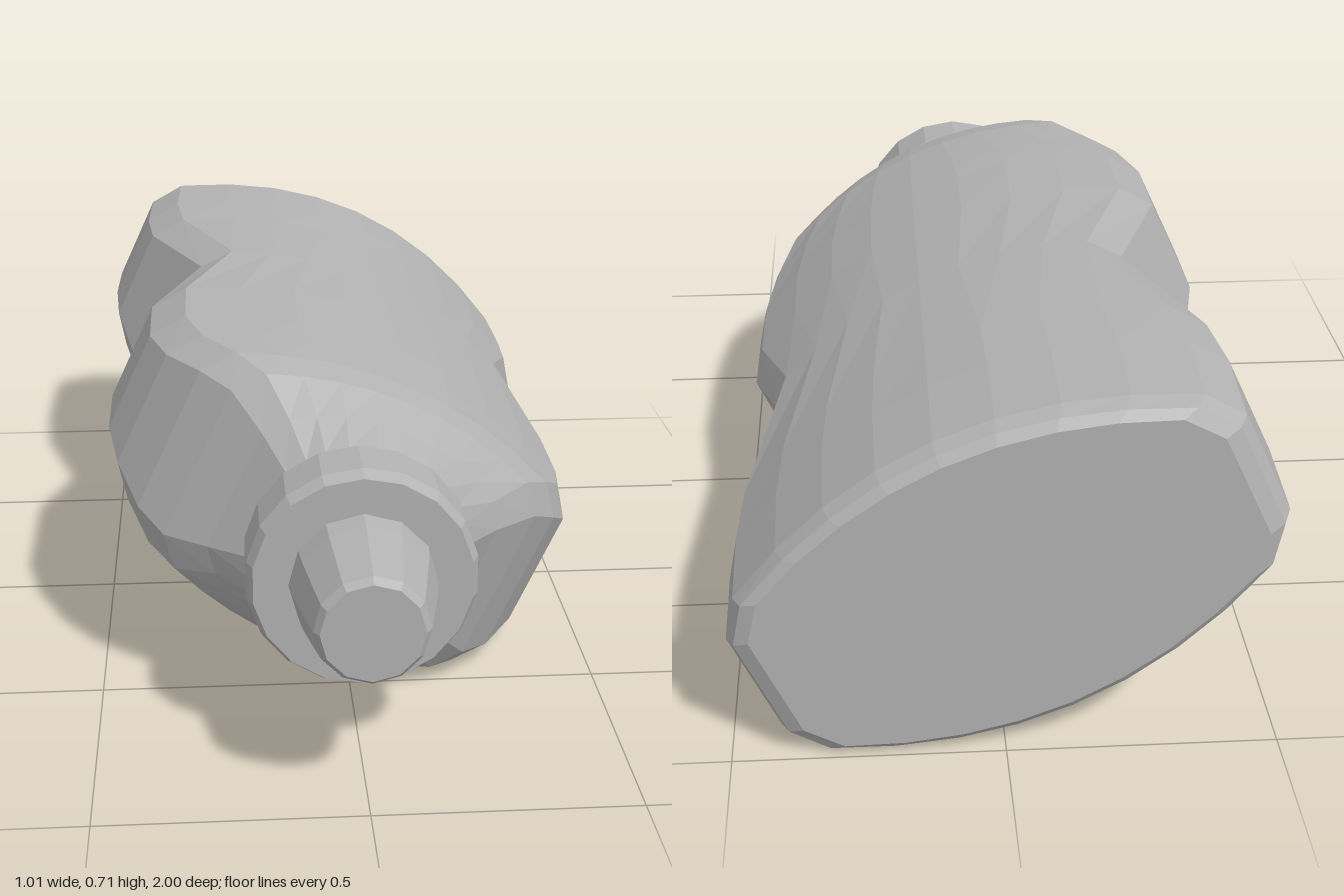
import * as THREE from 'three';

const TILT = THREE.MathUtils.degToRad(25);
const grey = new THREE.MeshStandardMaterial({ color: 0xb2b2b2, flatShading: true });
grey.name = 'plainGrey';

// Lens-shaped section, cut off flat at both ends (half length U, half thickness A)
function section(U, A) {
  const lens = (u) => A - 0.62 * u * u;
  const inner = U - 0.05;
  const top = [[U, lens(U) - 0.04]];
  for (const f of [1, 0.75, 0.5, 0.25, 0, -0.25, -0.5, -0.75, -1]) top.push([inner * f, lens(inner * f)]);
  top.push([-U, lens(U) - 0.04]);
  return [...top, ...top.map(([u, v]) => [-u, -v])];
}

// Stations along the bottle: z, half length, half thickness, blend to the round neck
const STATIONS = [
  [-1, 0.455, 0.275, 0], [-0.985, 0.485, 0.293, 0], [-0.95, 0.502, 0.302, 0],
  [-0.75, 0.508, 0.302, 0], [-0.6, 0.495, 0.3, 0], [-0.29, 0.39, 0.297, 0],
  [0, 0.483, 0.295, 0], [0.2, 0.482, 0.293, 0], [0.33, 0.45, 0.291, 0],
  [0.44, 0.39, 0.289, 0], [0.51, 0.345, 0.285, 0.1], [0.58, 0.33, 0.275, 0.55],
  [0.65, 0.33, 0.27, 1],
];

function bodyGeometry() {
  const pos = [], idx = [];
  const c = Math.cos(TILT), s = Math.sin(TILT);
  let n = 0;
  for (const [z, U, A, round] of STATIONS) {
    const pts = section(U, A);
    n = pts.length;
    for (const [u, v] of pts) {
      const k = THREE.MathUtils.lerp(1, 0.21 / Math.hypot(u, v), round);
      pos.push((u * c + v * s) * k, (v * c - u * s) * k + 0.35 + 0.008 * round, z);
    }
  }
  const last = STATIONS.length - 1;
  for (let i = 0; i < last; i++) {
    for (let j = 0; j < n; j++) {
      const a = i * n + j, b = i * n + (j + 1) % n;
      idx.push(a, b, b + n, a, b + n, a + n);
    }
  }
  // End caps
  const back = pos.length / 3;
  pos.push(0, 0.35, -1, 0, 0.358, 0.65);
  for (let j = 0; j < n; j++) {
    const k = (j + 1) % n;
    idx.push(back, k, j, back + 1, last * n + j, last * n + k);
  }
  const g = new THREE.BufferGeometry();
  g.setAttribute('position', new THREE.Float32BufferAttribute(pos, 3));
  g.setIndex(idx);
  g.computeVertexNormals();
  return g;
}

// Turned part along z from [radius, z] pairs
function turned(name, profile, sides) {
  const g = new THREE.LatheGeometry(profile.map(([r, z]) => new THREE.Vector2(r, z)), sides);
  g.rotateX(Math.PI / 2);
  const m = new THREE.Mesh(g, grey);
  m.name = name;
  m.position.set(0.002, 0.36, 0);
  return m;
}

export function createModel() {
  const group = new THREE.Group();
  group.name = 'squeezeBottle';
  const body = new THREE.Mesh(bodyGeometry(), grey);
  body.name = 'bottleBody';
  group.add(body);
  group.add(turned('capCollar', [[0, 0.63], [0.207, 0.64], [0.217, 0.66], [0.217, 0.77], [0.205, 0.795], [0, 0.795]], 18));
  group.add(turned('nozzle', [[0, 0.78], [0.138, 0.79], [0.132, 0.84], [0.117, 0.92], [0.104, 0.985], [0.093, 1], [0, 1]], 12));
  return group;
}
